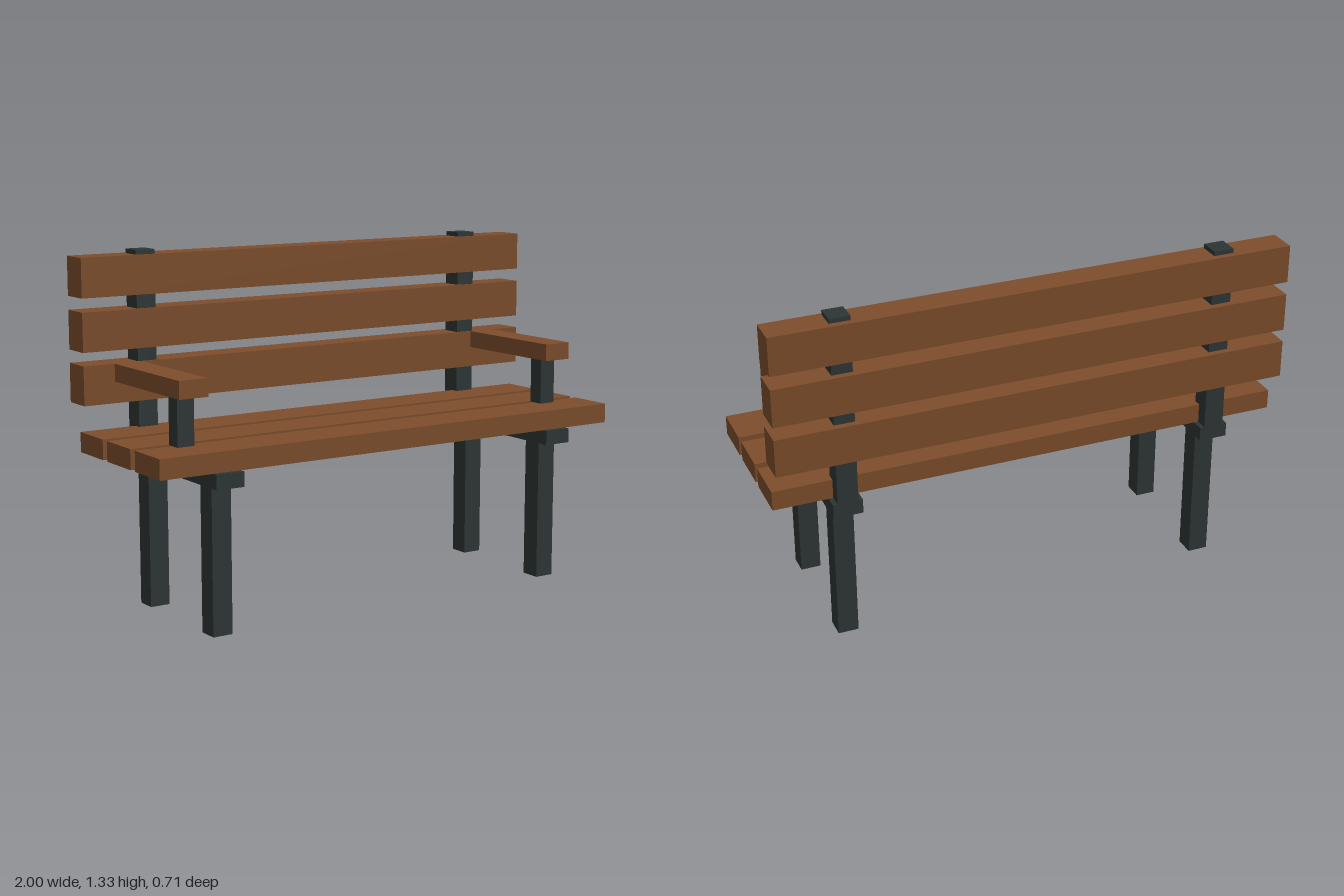
import * as THREE from 'three';

export function createModel() {
  const bench = new THREE.Group();
  bench.name = 'bench';
  const wood = new THREE.MeshStandardMaterial({ color: 0x7c4d2b });
  wood.name = 'brown wood';
  const metal = new THREE.MeshStandardMaterial({ color: 0x2d3635 });
  metal.name = 'dark metal';

  // Box given by its lower and upper bound on each axis
  function box(name, material, [x0, x1], [y0, y1], [z0, z1]) {
    const geometry = new THREE.BoxGeometry(x1 - x0, y1 - y0, z1 - z0);
    const mesh = new THREE.Mesh(geometry, material);
    mesh.position.set((x0 + x1) / 2, (y0 + y1) / 2, (z0 + z1) / 2);
    mesh.name = name;
    bench.add(mesh);
  }

  // Seat slats
  for (const z of [0.24, 0.026, -0.187]) {
    box('seatSlat', wood, [-1, 1], [0.6, 0.675], [z - 0.09, z + 0.09]);
  }

  // Backrest slats
  for (const y of [0.775, 0.97, 1.167]) {
    box('backSlat', wood, [-1, 1], [y, y + 0.146], [-0.352, -0.238]);
  }

  // Frame and armrest on each side
  for (const side of [-1, 1]) {
    const span = (a, b) => (side > 0 ? [a, b] : [-b, -a]);
    const post = span(0.697, 0.775);
    box('frontLeg', metal, post, [0, 0.545], [0.208, 0.287]);
    box('rearLeg', metal, post, [0, 0.545], [-0.26, -0.181]);
    box('seatRail', metal, span(0.68, 0.792), [0.545, 0.6], [-0.327, 0.353]);
    box('backPost', metal, post, [0.6, 1.33], [-0.327, -0.247]);
    box('armSupport', metal, span(0.785, 0.852), [0.675, 0.855], [0.126, 0.188]);
    box('armrest', wood, span(0.76, 0.875), [0.855, 0.921], [-0.238, 0.247]);
  }

  return bench;
}
